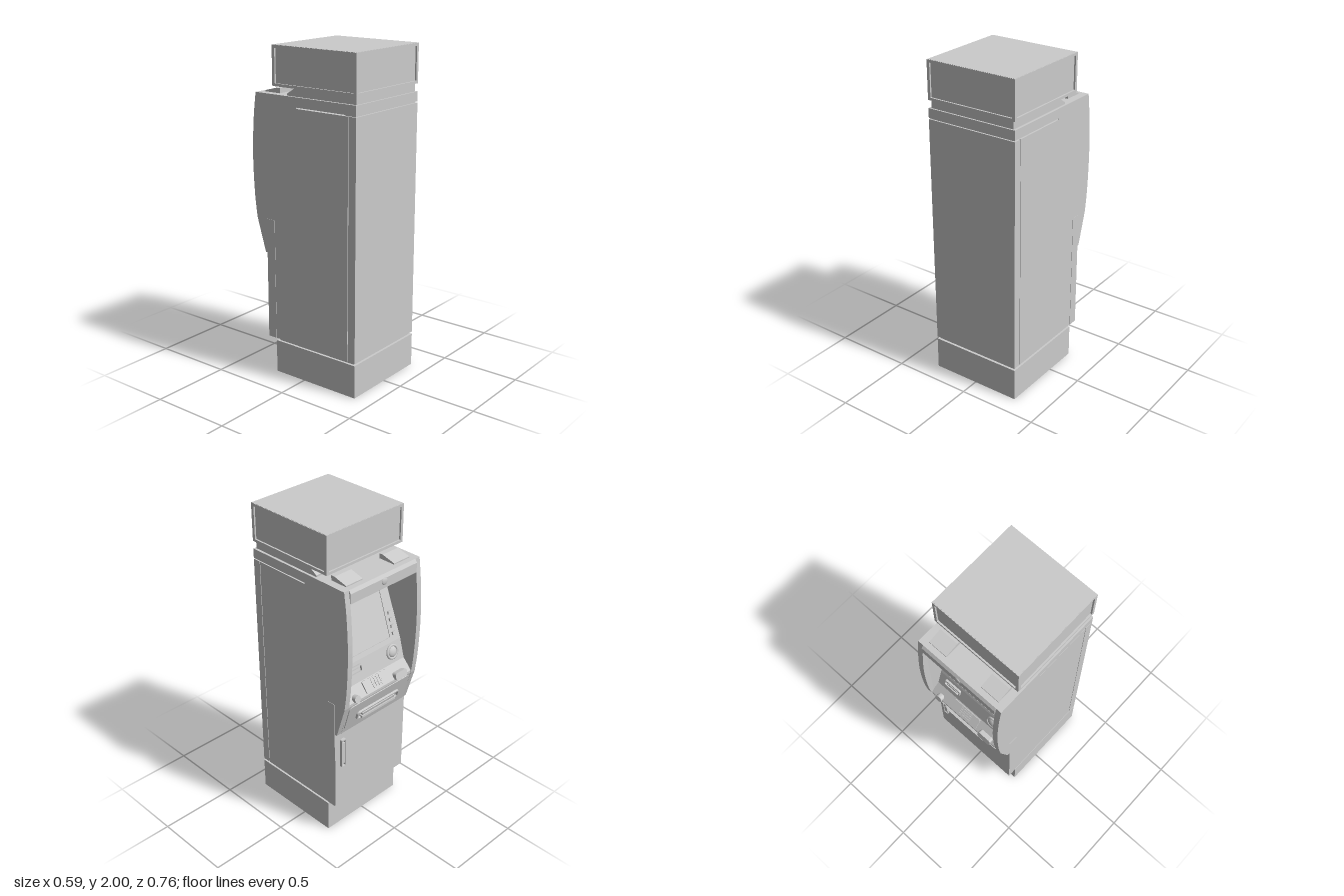
import * as THREE from 'three';

const mat = new THREE.MeshStandardMaterial({ color: 0xcccccc });

export function createModel() {
  const root = new THREE.Group();

  function add(name, geo, x = 0, y = 0, z = 0, rx = 0) {
    const m = new THREE.Mesh(geo, mat);
    m.name = name;
    m.position.set(x, y, z);
    m.rotation.x = rx;
    root.add(m);
    return m;
  }
  // box given by its limits
  const box = (name, x0, x1, y0, y1, z0, z1) =>
    add(name, new THREE.BoxGeometry(x1 - x0, y1 - y0, z1 - z0),
      (x0 + x1) / 2, (y0 + y1) / 2, (z0 + z1) / 2);
  // [z, y] profile extruded across the width from x0 to x1
  function profile(name, pts, x0, x1) {
    const s = new THREE.Shape(pts.map(p => new THREE.Vector2(p[0], p[1])));
    const g = new THREE.ExtrudeGeometry(s, { depth: x1 - x0, bevelEnabled: false });
    g.rotateY(-Math.PI / 2);
    g.translate(x1, 0, 0);
    return add(name, g);
  }
  function roundedRect(w, h, r, P = THREE.Shape) {
    const s = new P(), a = w / 2 - r, b = h / 2 - r;
    s.absarc(a, b, r, 0, Math.PI / 2);
    s.absarc(-a, b, r, Math.PI / 2, Math.PI);
    s.absarc(-a, -b, r, Math.PI, Math.PI * 1.5);
    s.absarc(a, -b, r, Math.PI * 1.5, Math.PI * 2);
    s.closePath();
    return s;
  }
  // raised plate or ring centred on its own origin
  function plate(w, h, r, d, rim = 0) {
    const s = roundedRect(w, h, r);
    if (rim) s.holes.push(roundedRect(w - 2 * rim, h - 2 * rim, Math.max(r - rim, 0.001), THREE.Path));
    const g = new THREE.ExtrudeGeometry(s, { depth: d, bevelEnabled: false, curveSegments: 6 });
    g.translate(0, 0, -d / 2);
    return g;
  }

  // Base and lower shadow gap
  box('base', -0.295, 0.295, 0, 0.205, -0.215, 0.38);
  box('baseNeck', -0.28, 0.28, 0.2, 0.225, -0.2, 0.365);

  // Central body with the customer recess cut into its profile
  profile('bodyCore', [
    [0.322, 0.22], [0.322, 1.662], [0.38, 1.662], [0.38, 1.72], [-0.345, 1.72],
    [-0.358, 1.7], [-0.358, 1.64], [-0.15, 1.52], [-0.265, 1.18], [-0.295, 1.055],
    [-0.35, 0.985], [-0.35, 0.97], [-0.292, 0.76], [-0.265, 0.76], [-0.265, 0.22],
  ], -0.26, 0.26);

  // Side walls with bulged rails, recess cheeks and edge trims
  const rail = new THREE.CatmullRomCurve3(
    [[-0.345, 1.72], [-0.363, 1.58], [-0.376, 1.35], [-0.367, 1.1], [-0.352, 0.97]]
      .map(p => new THREE.Vector3(p[0], p[1], 0))).getPoints(20).map(p => [p.x, p.y]);
  for (const s of [-1, 1]) {
    const [a, b] = s > 0 ? [0.26, 0.295] : [-0.295, -0.26];
    profile('sideWall', [
      [0.326, 0.22], [0.326, 1.655], [-0.04, 1.655], [-0.04, 1.662], [0.38, 1.662], [0.38, 1.72],
      ...rail, [-0.29, 0.76], [-0.27, 0.76], [-0.27, 0.22],
    ], a, b);
    const t = new THREE.Shape();
    t.moveTo(s * 0.262, 0.352);
    t.lineTo(s * 0.23, 0.1);
    t.lineTo(s * 0.262, 0.1);
    const g = new THREE.ExtrudeGeometry(t, { depth: 0.69, bevelEnabled: false });
    g.rotateX(-Math.PI / 2);
    add('recessCheek', g, 0, 0.99, 0);
    box('edgeTrim', s > 0 ? 0.288 : -0.297, s > 0 ? 0.297 : -0.288, 0.22, 0.97, -0.275, -0.215);
  }

  // Plain service panel on the front
  box('frontPanel', -0.295, 0.295, 0.22, 1.655, 0.33, 0.38);
  box('frontPanelCore', -0.285, 0.285, 0.23, 1.665, 0.3, 0.37);

  // Safe door and handle
  box('safeDoor', -0.29, 0.29, 0.222, 0.755, -0.276, -0.25);
  add('handleFrame', plate(0.036, 0.2, 0.008, 0.02, 0.007), 0.238, 0.605, -0.285);
  box('handleLever', 0.23, 0.246, 0.53, 0.68, -0.292, -0.275);

  // Cash drawer with its slot
  const drawerTilt = -0.27;
  add('drawerPanel', plate(0.5, 0.185, 0.025, 0.008), 0, 0.872, -0.324, drawerTilt);
  add('cashSlotRim', plate(0.35, 0.06, 0.02, 0.022, 0.01), 0, 0.86, -0.327, drawerTilt);
  add('cashSlotShutter', plate(0.27, 0.018, 0.005, 0.024), 0, 0.862, -0.327, drawerTilt);
  box('cashSlotLip', -0.14, 0.14, 0.835, 0.848, -0.342, -0.31);

  // Keyboard shelf, keypad and front bumps
  const shelfTilt = 0.666;
  add('keypadPlate', plate(0.2, 0.075, 0.006, 0.01), 0.01, 1.022, -0.324, shelfTilt);
  for (let r = 0; r < 4; r++) for (let c = 0; c < 4; c++) {
    const d = (r - 1.5) * 0.015;
    add('key', new THREE.BoxGeometry(0.016, 0.011, 0.006),
      0.04 - c * 0.022, 1.026 + d * Math.cos(shelfTilt), -0.328 + d * Math.sin(shelfTilt), shelfTilt);
  }
  add('shelfReader', plate(0.095, 0.045, 0.015, 0.03), -0.167, 1.0, -0.347, 0.25);
  add('shelfSocket', plate(0.045, 0.045, 0.02, 0.03), 0.197, 1.0, -0.347, 0.25);

  // Card reader and round scanner on the upright strip
  const stripTilt = 0.235;
  add('cardReader', plate(0.12, 0.05, 0.012, 0.02, 0.008), 0.147, 1.135, -0.279, stripTilt);
  add('cardSlot', plate(0.08, 0.012, 0.004, 0.022), 0.147, 1.135, -0.277, stripTilt);
  add('scannerRing', new THREE.TorusGeometry(0.04, 0.008, 8, 28), -0.168, 1.125, -0.281, stripTilt);
  add('scannerLens', new THREE.SphereGeometry(0.034, 20, 10).scale(1, 1, 0.5), -0.168, 1.125, -0.279, stripTilt);

  // Tilted screen and side keys
  const screenTilt = 0.326;
  add('screenBezel', plate(0.39, 0.32, 0.008, 0.012, 0.014), 0.015, 1.352, -0.209, screenTilt);
  add('screen', plate(0.37, 0.3, 0.004, 0.006), 0.015, 1.352, -0.208, screenTilt);
  for (let i = 0; i < 4; i++)
    add('sideKey', plate(0.026, 0.02, 0.004, 0.016), -0.207, 1.225 + i * 0.04, -0.251 + i * 0.0135, screenTilt);

  // Lamp strips under the recess ceiling
  const ceilTilt = -0.523;
  for (const [x, z, w] of [[0.1, -0.31, 0.14], [-0.1, -0.31, 0.14], [0.09, -0.26, 0.1], [-0.1, -0.25, 0.1], [-0.1, -0.22, 0.1]])
    add('ceilingLamp', new THREE.BoxGeometry(w, 0.008, 0.014), x, 1.64 - (z + 0.358) * 0.577, z, -ceilTilt);

  // Camera over the recess
  add('camera', new THREE.SphereGeometry(0.022, 18, 10).scale(1, 1, 0.3), 0, 1.682, -0.357);

  // Roof neck and the two sloped covers
  profile('roofNeck', [[0.37, 1.715], [0.37, 1.775], [-0.065, 1.775], [-0.065, 1.765], [-0.12, 1.73], [-0.12, 1.715]], -0.28, 0.28);
  for (const x of [-0.185, 0.185])
    profile('roofCover', [[-0.2, 1.715], [-0.2, 1.75], [-0.225, 1.75], [-0.312, 1.727], [-0.312, 1.715]], x - 0.062, x + 0.062);

  // Sign box: recessed panels framed on all four sides
  box('signPanels', -0.285, 0.285, 1.77, 1.995, -0.205, 0.37);
  box('signTop', -0.292, 0.292, 1.985, 2.0, -0.212, 0.377);
  function frame(w, x, z, ry) {
    const s = roundedRect(w, 0.232, 0.002);
    s.holes.push(roundedRect(w - 0.036, 0.2, 0.002, THREE.Path));
    const g = new THREE.ExtrudeGeometry(s, { depth: 0.015, bevelEnabled: false, curveSegments: 1 });
    add('signFrame', g, x, 1.883, z).rotation.y = ry;
  }
  frame(0.59, 0, 0.365, 0);
  frame(0.59, 0, -0.2, Math.PI);
  frame(0.593, 0.28, 0.0825, Math.PI / 2);
  frame(0.593, -0.28, 0.0825, -Math.PI / 2);

  return root;
}
